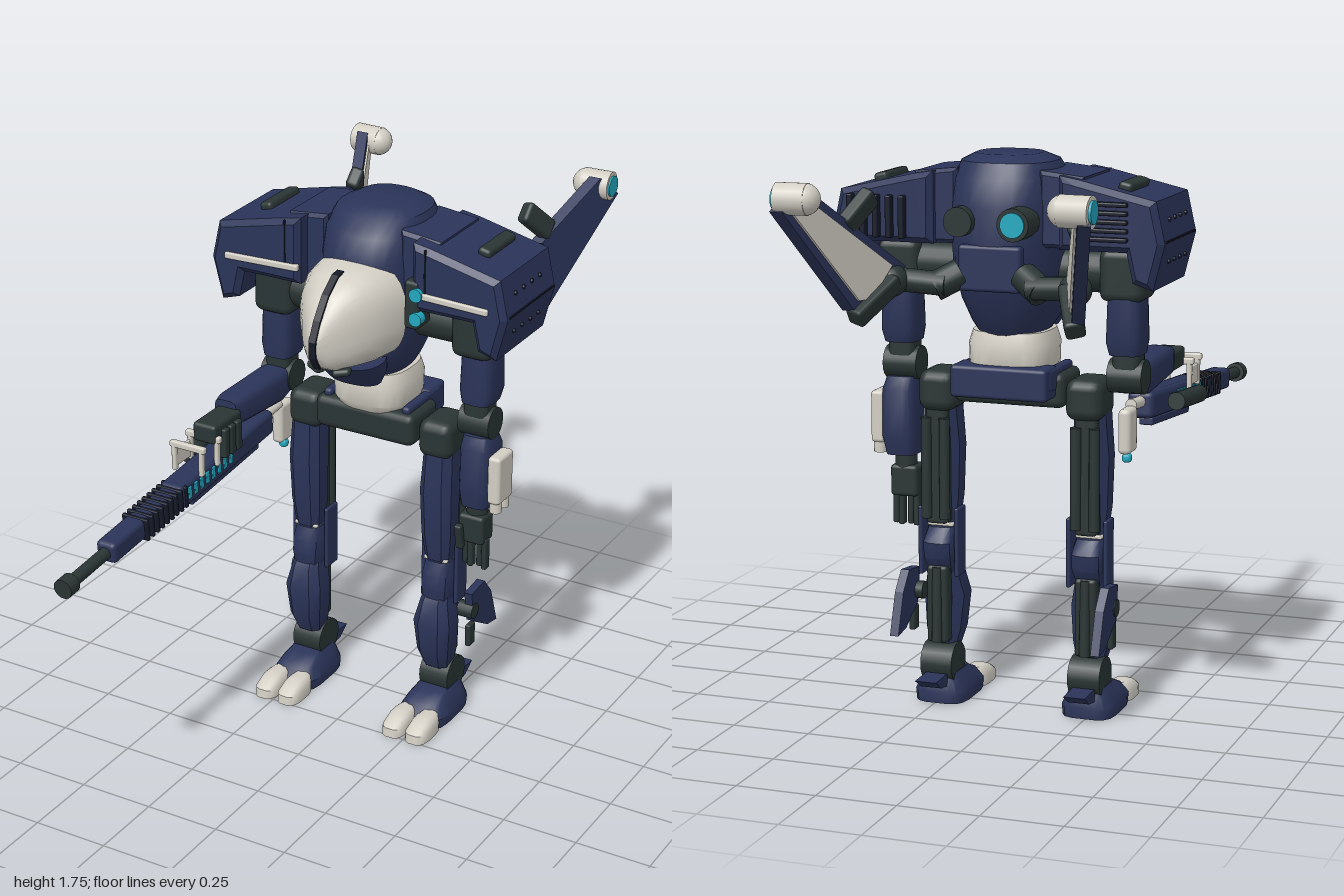
import * as THREE from 'three';
import { toCreasedNormals } from 'three/addons/utils/BufferGeometryUtils.js';
import { RoundedBoxGeometry } from 'three/addons/geometries/RoundedBoxGeometry.js';

const paint = (name, color) => Object.assign(new THREE.MeshStandardMaterial({ color }), { name });
const navy = paint('navy armour', 0x2b3459), dark = paint('dark joints', 0x2a3534);
const white = paint('bone white', 0xd2cec4), cyan = paint('cyan glow', 0x22a8bf);
const seam = paint('dark seams', 0x151a28);

// Helpers
function add(parent, name, geo, mat, pos = [0, 0, 0], rot = [0, 0, 0]) {
  const m = new THREE.Mesh(geo, mat);
  m.name = name;
  m.position.set(...pos);
  m.rotation.set(...rot);
  parent.add(m);
  return m;
}
const box = (w, h, d, r = 0.012) => new RoundedBoxGeometry(w, h, d, 2, Math.min(r, w / 2.1, h / 2.1, d / 2.1));
const cyl = (r, h, n = 18, r2 = r) => new THREE.CylinderGeometry(r, r2, h, n);
const ball = (r) => new THREE.SphereGeometry(r, 18, 12);
const X = [0, 0, Math.PI / 2], Z = [Math.PI / 2, 0, 0];

function rod(parent, name, a, b, r, mat, n = 14) {
  const p = new THREE.Vector3(...a), q = new THREE.Vector3(...b);
  const m = add(parent, name, cyl(r, p.distanceTo(q), n), mat);
  m.position.copy(p).lerp(q, 0.5);
  m.quaternion.setFromUnitVectors(new THREE.Vector3(0, 1, 0), q.sub(p).normalize());
  return m;
}

// Skin over superellipse rings [y, centreX, centreZ, radiusX, radiusZ]
function loft(rings, n = 28, e = 2.4, crease = 0.6) {
  const pos = [], idx = [];
  const pw = (v) => Math.sign(v) * Math.abs(v) ** (2 / e);
  for (const [y, cx, cz, rx, rz] of rings)
    for (let i = 0; i < n; i++) {
      const a = (i + 0.5) / n * Math.PI * 2;
      pos.push(cx + rx * pw(Math.cos(a)), y, cz + rz * pw(Math.sin(a)));
    }
  const last = rings.length - 1;
  for (let j = 0; j < last; j++)
    for (let i = 0; i < n; i++) {
      const a = j * n + i, b = j * n + (i + 1) % n;
      idx.push(a, a + n, b, b, a + n, b + n);
    }
  const c = pos.length / 3;
  for (const k of [0, last]) pos.push(rings[k][1], rings[k][0], rings[k][2]);
  for (let i = 0; i < n; i++) {
    const j = (i + 1) % n;
    idx.push(c, i, j, c + 1, last * n + j, last * n + i);
  }
  const g = new THREE.BufferGeometry();
  g.setAttribute('position', new THREE.Float32BufferAttribute(pos, 3));
  g.setIndex(idx);
  return toCreasedNormals(g, crease);
}

const extrude = (pts, depth, bevel = 0) => new THREE.ExtrudeGeometry(
  new THREE.Shape(pts.map((p) => new THREE.Vector2(...p))),
  { depth, bevelEnabled: bevel > 0, bevelSize: bevel, bevelThickness: bevel, bevelOffset: -bevel, bevelSegments: 1 });

// Side profile [z, y] given thickness along x, optionally splayed outward toward the rear
function plate(pts, t, x = 0, splay = 0, from = 0) {
  const g = extrude(pts.map(([z, y]) => [-z, y]), t).rotateY(Math.PI / 2).translate(x - t / 2, 0, 0);
  const p = g.attributes.position;
  for (let i = 0; i < p.count; i++) p.setX(i, p.getX(i) + splay * (from - p.getZ(i)));
  g.computeVertexNormals();
  return g;
}

function buildTorso(root) {
  const g = new THREE.Group();
  g.name = 'torso';
  root.add(g);
  add(g, 'hull', loft([[1.2, 0, -0.27, 0.1, 0.12], [1.24, 0, -0.26, 0.125, 0.16], [1.31, 0, -0.26, 0.155, 0.19],
    [1.42, 0, -0.28, 0.172, 0.215], [1.6, 0, -0.29, 0.172, 0.21], [1.68, 0, -0.29, 0.168, 0.185],
    [1.73, 0, -0.3, 0.145, 0.15], [1.752, 0, -0.31, 0.1, 0.1]]), navy);
  // Canopy runs forward to a blunt nose
  const canopy = loft([[-0.13, 0, -1.448, 0.172, 0.165], [-0.06, 0, -1.447, 0.16, 0.16], [0.01, 0, -1.443, 0.128, 0.148],
    [0.07, 0, -1.425, 0.085, 0.122], [0.12, 0, -1.405, 0.042, 0.075], [0.148, 0, -1.4, 0.012, 0.03]], 28, 2.6, 0.5);
  add(g, 'canopy', canopy.rotateX(Math.PI / 2), white);
  add(g, 'canopyStripe', plate([[-0.02, 1.602], [0.012, 1.597], [0.073, 1.553], [0.124, 1.486], [0.154, 1.425],
    [0.152, 1.37], [0.124, 1.325], [0.11, 1.34], [0.135, 1.42], [0.06, 1.53], [-0.02, 1.58]], 0.024), seam);
  add(g, 'chin', loft([[1.2, 0, -0.12, 0.085, 0.05], [1.26, 0, -0.09, 0.12, 0.07], [1.3, 0, -0.06, 0.125, 0.1]], 20), navy);
  for (const s of [-1, 1]) add(g, 'chinSensor', box(0.06, 0.025, 0.04), dark, [s * 0.045, 1.298, 0.05], [0, s * 0.4, s * 0.15]);
  // Side sensor on the left shoulder root
  add(g, 'sensorPod', box(0.05, 0.16, 0.09), dark, [0.205, 1.5, -0.14]);
  for (const y of [1.46, 1.54]) add(g, 'sensorLens', cyl(0.022, 0.03), cyan, [0.225, y, -0.1], Z);
  // Rear thruster
  add(g, 'thruster', cyl(0.05, 0.1), dark, [-0.09, 1.56, -0.49], Z);
  add(g, 'thrusterGlow', cyl(0.038, 0.008), cyan, [-0.09, 1.56, -0.542], Z);
  add(g, 'rearSocket', cyl(0.045, 0.07), dark, [0.09, 1.56, -0.49], Z);
  add(g, 'backPack', box(0.2, 0.14, 0.08), navy, [0, 1.42, -0.46]);
  // Waist and pelvis
  add(g, 'waist', loft([[1.07, 0, -0.27, 0.115, 0.11], [1.1, 0, -0.27, 0.13, 0.13], [1.17, 0, -0.27, 0.132, 0.132],
    [1.21, 0, -0.27, 0.12, 0.12]], 24, 3), white);
  add(g, 'pelvis', box(0.36, 0.11, 0.18, 0.025), dark, [0, 1.03, -0.25]);
  add(g, 'pelvisRear', box(0.31, 0.1, 0.11), navy, [0, 1.06, -0.375]);
  for (const s of [-1, 1]) add(g, 'pelvisSide', box(0.03, 0.07, 0.22), navy, [s * 0.143, 1.07, -0.29]);
}

function buildShoulder(root, s) {
  const g = new THREE.Group();
  g.name = s > 0 ? 'leftShoulder' : 'rightShoulder';
  root.add(g);
  const prof = [[0.16, 1.7], [0.26, 1.69], [0.5, 1.635], [0.528, 1.51], [0.492, 1.37], [0.43, 1.39], [0.41, 1.48], [0.16, 1.48]];
  const mir = (pts) => pts.map(([x, y]) => [s * x, y]);
  add(g, 'shoulderRoot', extrude(mir([[0.13, 1.71], [0.27, 1.695], [0.27, 1.48], [0.13, 1.48]]), 0.24, 0.012), navy, [0, 0, -0.41]);
  add(g, 'shoulderPod', extrude(mir(prof.map(([x, y]) => [Math.max(x, 0.2), y])), 0.32, 0.018), navy, [0, 0, -0.438]);
  add(g, 'frontTrim', box(0.27, 0.022, 0.02, 0.006), white, [s * 0.335, 1.535, -0.1], [0, 0, -s * 0.03]);
  add(g, 'frontSeam', box(0.006, 0.16, 0.008, 0.002), seam, [s * 0.25, 1.61, -0.102]);
  add(g, 'topVent', box(0.045, 0.03, 0.18), dark, [s * 0.39, 1.668, -0.305], [0, 0, -s * 0.22]);
  // Outer rivets and panel line
  for (const [y, x] of [[1.575, 0.515], [1.45, 0.514]])
    for (let i = 0; i < 4; i++) add(g, 'rivet', ball(0.007), seam, [s * x, y, -0.19 - i * 0.055]);
  add(g, 'panelLine', box(0.008, 0.006, 0.3, 0.002), seam, [s * 0.527, 1.515, -0.28]);
  // Rear cooling fins
  for (let i = 0; i < 5; i++) {
    if (s > 0) add(g, 'rearFin', box(0.018, 0.13, 0.035, 0.005), seam, [0.29 + i * 0.042, 1.56, -0.465]);
    else add(g, 'rearLouvre', box(0.17, 0.014, 0.03, 0.005), seam, [-0.335, 1.52 + i * 0.026, -0.46]);
  }
  // Shoulder joint and upper arm
  rod(g, 'shoulderAxle', [s * 0.12, 1.4, -0.27], [s * 0.31, 1.4, -0.27], 0.068, dark, 18);
  add(g, 'shoulderJoint', box(0.14, 0.165, 0.16, 0.03), dark, [s * 0.36, 1.395, -0.27]);
  add(g, 'upperArm', loft([[1.15, s * 0.365, -0.275, 0.05, 0.06], [1.19, s * 0.365, -0.28, 0.058, 0.068],
    [1.33, s * 0.365, -0.28, 0.054, 0.064]], 16, 4), navy);
  rod(g, 'elbowPin', [s * 0.31, 1.08, -0.27], [s * 0.42, 1.08, -0.27], 0.053, dark, 18);
  add(g, 'elbow', box(0.085, 0.12, 0.09, 0.02), dark, [s * 0.365, 1.11, -0.27]);
  // Swept antenna blade, white on its inner face
  const blade = [[-0.52, 1.42], [-0.91, 1.7], [-0.985, 1.63], [-0.72, 1.31], [-0.66, 1.31]];
  const inner = [[-0.58, 1.43], [-0.9, 1.66], [-0.95, 1.62], [-0.71, 1.34], [-0.66, 1.34]];
  add(g, 'blade', plate(blade, 0.04, s * 0.285, s * 0.4, -0.54), navy);
  add(g, 'bladeInlay', plate(inner, 0.008, s * 0.262, s * 0.4, -0.54), white);
  rod(g, 'bladeTip', [s * 0.38, 1.665, -0.945], [s * 0.475, 1.665, -0.95], 0.047, white, 20);
  add(g, 'bladeTipCap', ball(0.047), white, [s * 0.39, 1.665, -0.945]);
  rod(g, 'tipLens', [s * 0.474, 1.665, -0.95], [s * 0.482, 1.665, -0.95], 0.034, cyan, 18);
  add(g, 'bladeBlock', box(0.045, 0.07, 0.13), dark, [s * 0.335, 1.605, -0.69], [-0.8, -s * 0.38, 0]);
  add(g, 'bladeFoot', box(0.06, 0.06, 0.19), dark, [s * 0.31, 1.335, -0.64], [-0.6, -s * 0.38, 0]);
  rod(g, 'bladeArm', [s * 0.1, 1.4, -0.47], [s * 0.17, 1.36, -0.51], 0.045, dark);
  rod(g, 'bladeArm', [s * 0.13, 1.37, -0.51], [s * 0.29, 1.38, -0.52], 0.036, dark);
  add(g, 'bladeHinge', ball(0.05), dark, [s * 0.29, 1.38, -0.55]);
}

function buildLeftArm(root) {
  const g = new THREE.Group();
  g.name = 'leftForearm';
  root.add(g);
  add(g, 'forearm', loft([[0.79, 0.37, -0.27, 0.048, 0.055], [0.85, 0.373, -0.27, 0.056, 0.068], [1.0, 0.373, -0.27, 0.054, 0.066],
    [1.04, 0.37, -0.27, 0.045, 0.05]], 16, 4), navy);
  add(g, 'armBox', box(0.045, 0.165, 0.1), white, [0.447, 0.905, -0.26]);
  for (const z of [-0.285, -0.235]) rod(g, 'armBoxNozzle', [0.447, 0.79, z], [0.447, 0.84, z], 0.02, white);
  add(g, 'wrist', cyl(0.035, 0.06), dark, [0.365, 0.77, -0.27]);
  add(g, 'hand', box(0.09, 0.1, 0.08), dark, [0.362, 0.705, -0.265]);
  for (let i = 0; i < 4; i++) add(g, 'finger', box(0.019, 0.11, 0.03, 0.006), dark, [0.327 + i * 0.025, 0.615, -0.275 + (i % 2) * 0.015]);
  add(g, 'thumb', box(0.025, 0.09, 0.025, 0.006), dark, [0.33, 0.68, -0.215], [0.2, 0, 0]);
}

function buildRightArm(root) {
  const g = new THREE.Group();
  g.name = 'rightForearm';
  root.add(g);
  const arm = loft([[-0.27, -0.365, -1.07, 0.045, 0.045], [-0.19, -0.365, -1.065, 0.055, 0.055],
    [0.04, -0.365, -1.075, 0.05, 0.048], [0.08, -0.365, -1.08, 0.04, 0.036]], 16, 4);
  add(g, 'forearm', arm.rotateX(Math.PI / 2), navy);
  add(g, 'hand', box(0.085, 0.065, 0.16), dark, [-0.355, 1.06, 0.145]);
  for (let i = 0; i < 3; i++) add(g, 'finger', box(0.024, 0.1, 0.03, 0.006), dark, [-0.31, 1.02, 0.1 + i * 0.036]);

  // Rifle, built along z and pitched slightly down
  const r = new THREE.Group();
  r.name = 'rifle';
  r.position.set(-0.36, 0.965, -0.14);
  r.rotation.x = 0.085;
  root.add(r);
  add(r, 'receiver', box(0.085, 0.085, 0.56, 0.018), navy, [0, 0, 0.28]);
  add(r, 'foregrip', box(0.07, 0.07, 0.37, 0.016), navy, [0, 0, 0.73]);
  add(r, 'lowerRail', box(0.045, 0.025, 0.4, 0.006), navy, [0, -0.058, 0.27]);
  for (let i = 0; i < 9; i++) {
    add(r, 'foregripRib', box(0.094, 0.075, 0.014, 0.004), seam, [0, 0, 0.53 + i * 0.027]);
    if (i < 8) for (const s of [-1, 1]) add(r, 'glowSlit', box(0.008, 0.042, 0.02, 0.003), cyan, [s * 0.042, 0.005, 0.27 + i * 0.034]);
  }
  add(r, 'barrel', cyl(0.02, 0.25), dark, [0, 0, 1.01], Z);
  add(r, 'muzzle', cyl(0.032, 0.045), dark, [0, 0, 1.115], Z);
  add(r, 'stockRod', cyl(0.018, 0.12), white, [0, 0.01, -0.03], Z);
  add(r, 'sideDrum', cyl(0.028, 0.25), dark, [-0.095, 0.01, 0.2], Z);
  add(r, 'drumMount', box(0.06, 0.03, 0.06), dark, [-0.06, 0.005, 0.2]);
  add(g, 'stockPlate', box(0.04, 0.14, 0.085, 0.015), white, [-0.36, 0.91, -0.26]);
  add(g, 'stockGlow', box(0.03, 0.03, 0.03), cyan, [-0.36, 0.825, -0.265]);
  // White cradle frame over the rifle
  for (const z of [0.21, 0.3]) {
    add(g, 'cradleBar', box(0.13, 0.022, 0.02, 0.006), white, [-0.365, 1.045, z]);
    for (const x of [-0.415, -0.315]) add(g, 'cradlePost', box(0.016, 0.09, 0.02, 0.005), white, [x, 1.0, z]);
  }
  add(g, 'cradlePlate', box(0.01, 0.06, 0.1, 0.004), white, [-0.415, 0.995, 0.25]);
}

function buildLeg(root, s) {
  const g = new THREE.Group();
  g.name = s > 0 ? 'leftLeg' : 'rightLeg';
  root.add(g);
  const x = s * 0.245;
  add(g, 'hip', box(0.12, 0.13, 0.16, 0.035), dark, [s * 0.24, 1.005, -0.265]);
  add(g, 'thigh', loft([[0.57, x, -0.245, 0.045, 0.04], [0.66, x, -0.24, 0.056, 0.05], [0.82, x, -0.235, 0.06, 0.055],
    [0.96, x, -0.25, 0.054, 0.06]], 8, 3, 0.4), navy);
  add(g, 'thighFrame', box(0.07, 0.38, 0.06), dark, [x, 0.77, -0.295]);
  for (const d of [-0.03, 0.03]) rod(g, 'thighPiston', [x + d, 0.6, -0.325], [x + d, 0.92, -0.325], 0.017, dark);
  add(g, 'kneeBand', box(0.085, 0.012, 0.08, 0.004), white, [x, 0.572, -0.25]);
  // Knee
  add(g, 'kneeGuard', loft([[0.41, x, -0.245, 0.045, 0.05], [0.47, x, -0.26, 0.055, 0.075], [0.52, x, -0.265, 0.055, 0.075],
    [0.565, x, -0.255, 0.045, 0.05]], 12, 3), navy);
  for (const d of [-0.06, 0.06]) add(g, 'kneePlate', box(0.014, 0.22, 0.07, 0.005), navy, [x + d, 0.52, -0.275]);
  // Shin, calf frame and outer fin
  add(g, 'shin', loft([[0.17, x, -0.25, 0.045, 0.045], [0.23, x, -0.235, 0.06, 0.06], [0.34, x, -0.225, 0.07, 0.062],
    [0.42, x, -0.24, 0.052, 0.06], [0.45, x, -0.25, 0.045, 0.05]], 8, 3, 0.4), navy);
  add(g, 'calfFrame', box(0.07, 0.25, 0.05), dark, [x, 0.32, -0.3]);
  rod(g, 'calfPiston', [x, 0.2, -0.325], [x, 0.44, -0.315], 0.017, dark);
  add(g, 'calfFin', plate([[-0.29, 0.43], [-0.38, 0.44], [-0.43, 0.38], [-0.475, 0.25], [-0.41, 0.26], [-0.31, 0.32]], 0.028, s * 0.328), navy);
  rod(g, 'finPivot', [s * 0.29, 0.36, -0.31], [s * 0.345, 0.36, -0.31], 0.028, dark);
  add(g, 'finStrut', box(0.02, 0.08, 0.04, 0.006), dark, [s * 0.328, 0.27, -0.31]);
  // Ankle and foot
  rod(g, 'ankle', [x - 0.052, 0.125, -0.275], [x + 0.052, 0.125, -0.275], 0.064, dark, 20);
  add(g, 'foot', loft([[0, x, -0.215, 0.085, 0.12], [0.035, x, -0.215, 0.088, 0.122], [0.07, x, -0.225, 0.07, 0.105],
    [0.095, x, -0.25, 0.055, 0.07]], 16, 4), navy);
  add(g, 'heelSpur', plate([[-0.28, 0.1], [-0.425, 0.095], [-0.38, 0.065], [-0.28, 0.05]], 0.07, x), navy);
  for (const d of [-0.043, 0.043])
    add(g, 'toe', loft([[0, x + d, -0.06, 0.041, 0.072], [0.03, x + d, -0.062, 0.041, 0.07], [0.052, x + d, -0.08, 0.034, 0.052],
      [0.062, x + d, -0.09, 0.022, 0.035]], 16, 3, 0.8), white);
}

export function createModel() {
  const root = new THREE.Group();
  root.name = 'walkingMachine';
  buildTorso(root);
  for (const s of [-1, 1]) {
    buildShoulder(root, s);
    buildLeg(root, s);
  }
  buildLeftArm(root);
  buildRightArm(root);
  return root;
}
